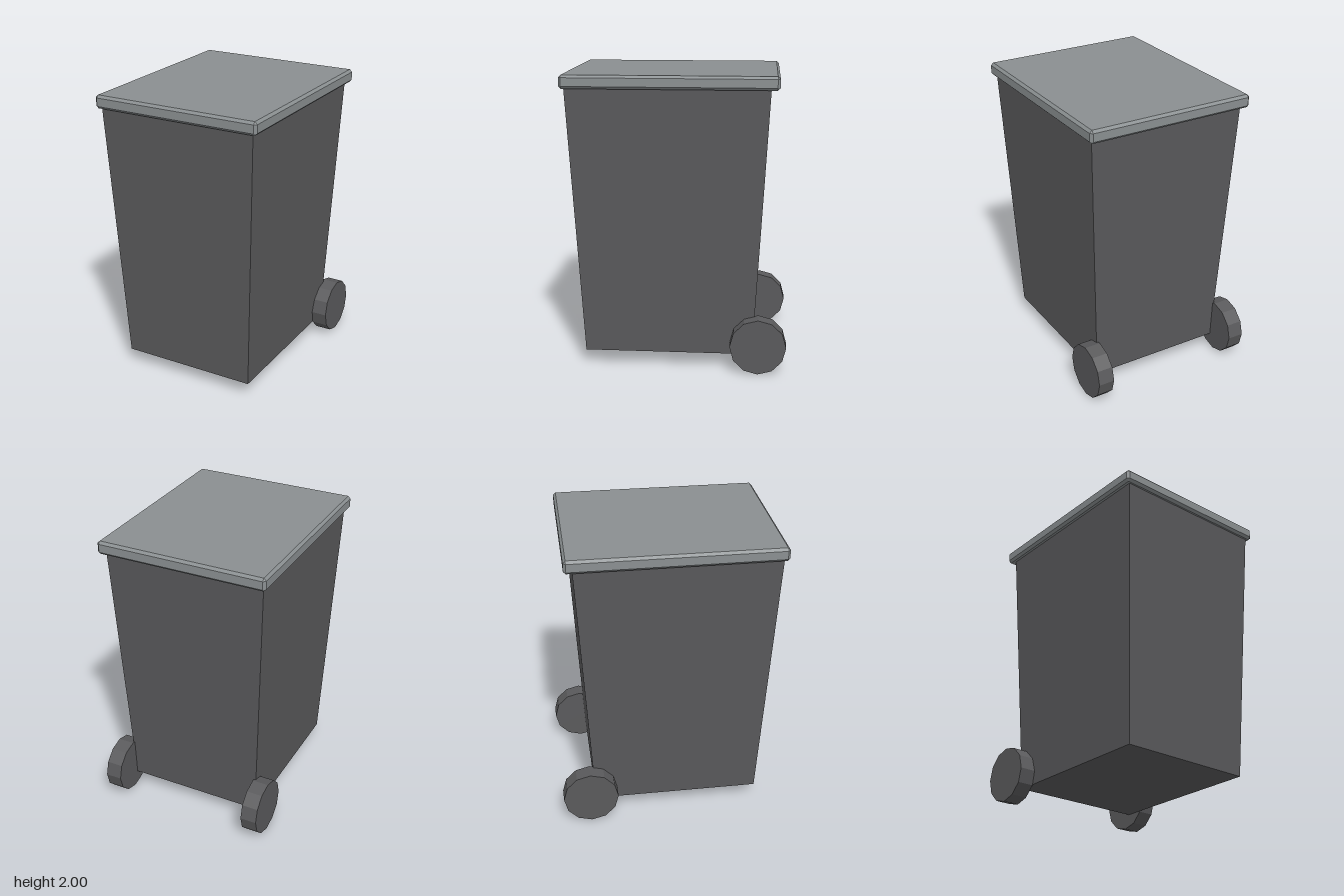
import * as THREE from 'three';
import { ConvexGeometry } from 'three/addons/geometries/ConvexGeometry.js';

// Box with every edge cut by a single flat chamfer
function chamferedBox(w, h, d, c) {
  const points = [];
  for (const sx of [-1, 1]) for (const sy of [-1, 1]) for (const sz of [-1, 1]) {
    const x = w / 2, y = h / 2, z = d / 2;
    points.push(
      new THREE.Vector3(sx * x, sy * (y - c), sz * (z - c)),
      new THREE.Vector3(sx * (x - c), sy * y, sz * (z - c)),
      new THREE.Vector3(sx * (x - c), sy * (y - c), sz * z)
    );
  }
  return new ConvexGeometry(points);
}

// Box that widens from its bottom size to its top size
function taperedBox(bottomW, bottomD, topW, topD, h) {
  const geometry = new THREE.BoxGeometry(1, h, 1);
  const p = geometry.attributes.position;
  for (let i = 0; i < p.count; i++) {
    const top = p.getY(i) > 0;
    p.setX(i, p.getX(i) * (top ? topW : bottomW));
    p.setZ(i, p.getZ(i) * (top ? topD : bottomD));
  }
  geometry.computeVertexNormals();
  return geometry;
}

export function createModel() {
  const group = new THREE.Group();
  group.name = 'wheeledBin';

  const darkGrey = new THREE.MeshStandardMaterial({ color: 0x5a5a5c, flatShading: true });
  darkGrey.name = 'darkGreyPlastic';
  const lightGrey = new THREE.MeshStandardMaterial({ color: 0x8a8f91, flatShading: true });
  lightGrey.name = 'lightGreyPlastic';

  function add(name, geometry, material, x, y, z) {
    const mesh = new THREE.Mesh(geometry, material);
    mesh.name = name;
    mesh.position.set(x, y, z);
    group.add(mesh);
  }

  // Tapered container, standing clear of the ground
  add('body', taperedBox(0.954, 1.14, 1.11, 1.34, 1.815), darkGrey, 0, 1.0075, 0.05);

  // Overhanging lid
  add('lid', chamferedBox(1.18, 0.09, 1.425, 0.017), lightGrey, 0, 1.955, 0.0365);

  // Twelve-sided wheels at the rear
  const wheel = new THREE.CylinderGeometry(0.19, 0.19, 0.113, 12).rotateZ(Math.PI / 2);
  for (const side of [1, -1]) {
    add(side > 0 ? 'leftWheel' : 'rightWheel', wheel, darkGrey, side * 0.5335, 0.19, -0.56);
  }

  return group;
}
